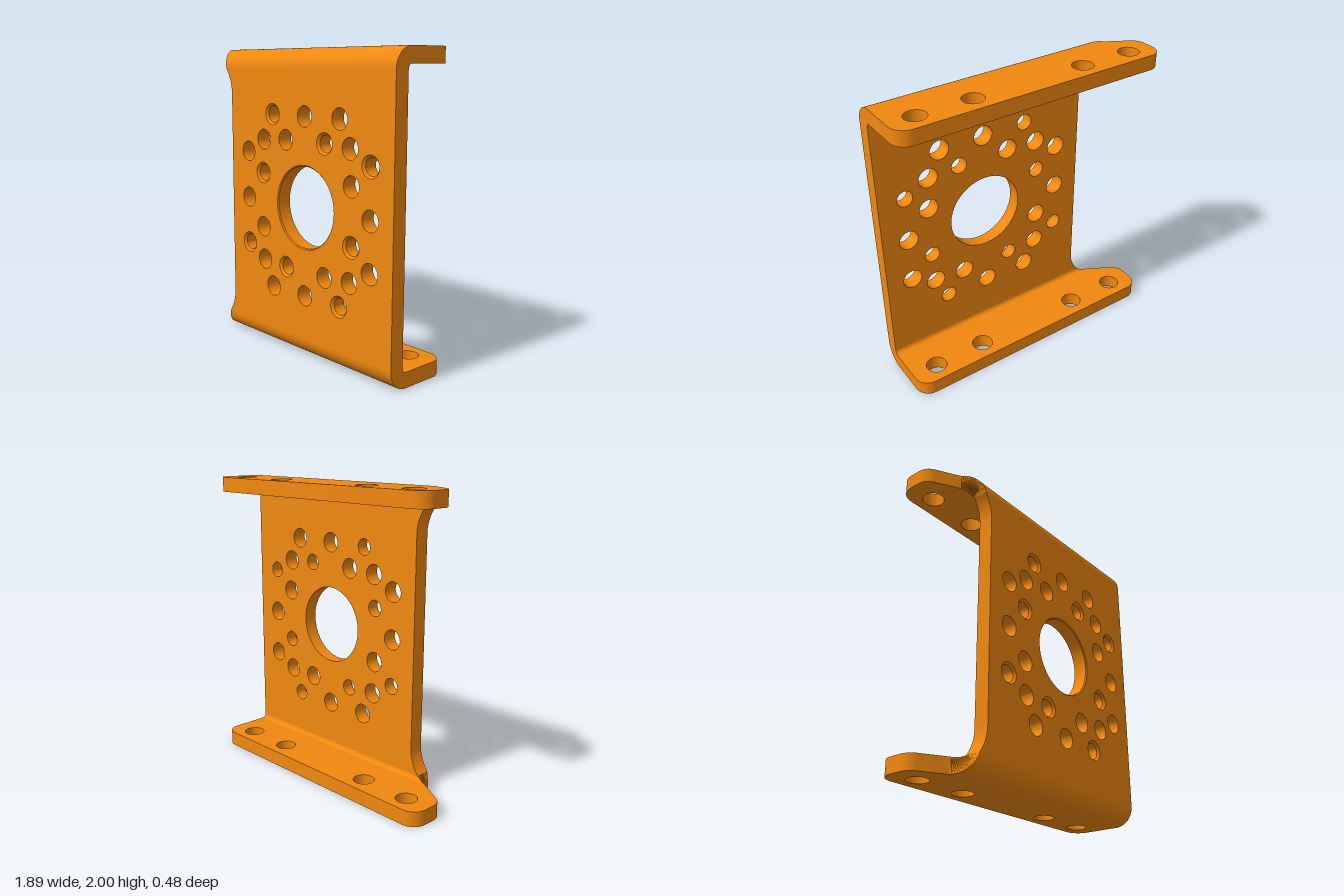
import * as THREE from 'three';
import { toCreasedNormals } from 'three/addons/utils/BufferGeometryUtils.js';

const RIGHT = 0.945, T = 0.1;            // plate half width, sheet thickness
const BEND_Z = 0.11, R_OUT = 0.13, R_IN = 0.03;
const CX = 0.183, CY = 1;                // centre of the hole pattern

const material = new THREE.MeshStandardMaterial({ color: 0xf0880f });

function addMesh(group, geometry, name) {
  const mesh = new THREE.Mesh(toCreasedNormals(geometry, 0.4), material);
  mesh.name = name;
  group.add(mesh);
  return mesh;
}

function punch(shape, x, y, r) {
  shape.holes.push(new THREE.Path().absarc(x, y, r, 0, Math.PI * 2, true));
}

function extrude(shape) {
  return new THREE.ExtrudeGeometry(shape, { depth: T, bevelEnabled: false, curveSegments: 20 });
}

// Liner that narrows a punched hole and gives it a chamfered front edge
function chamferedRim(group, x, y, inner, outer, name) {
  const profile = [[outer, 0], [inner, 0], [inner, T - (outer - inner)], [outer, T]]
    .map(([r, h]) => new THREE.Vector2(r, h)).reverse();
  const geometry = new THREE.LatheGeometry(profile, 40);
  geometry.rotateX(Math.PI / 2);
  // the lathe axis now runs along +z; face the walls toward the hole axis
  const pos = geometry.attributes.position, index = geometry.index;
  const a = new THREE.Vector3(), b = new THREE.Vector3(), c = new THREE.Vector3();
  for (let i = 0; i < index.count; i += 3) {
    const [i0, i1, i2] = [0, 1, 2].map((k) => index.getX(i + k));
    a.fromBufferAttribute(pos, i0);
    b.fromBufferAttribute(pos, i1);
    c.fromBufferAttribute(pos, i2);
    const n = b.clone().sub(a).cross(c.clone().sub(a));
    const mid = a.clone().add(b).add(c).divideScalar(3);
    const back = Math.max(a.z, b.z, c.z) < 1e-5;
    const inward = back ? -n.z : -(n.x * mid.x + n.y * mid.y);
    if (inward < 0) {
      index.setX(i + 1, i2);
      index.setX(i + 2, i1);
    }
  }
  addMesh(group, geometry, name).position.set(x, y, BEND_Z + R_IN);
}

// Flat upright plate with the hole pattern
function buildWeb(group) {
  const lo = R_OUT, hi = 2 - R_OUT;
  const s = new THREE.Shape();
  s.moveTo(RIGHT, lo);
  s.lineTo(RIGHT, hi);
  s.lineTo(-0.64, hi);
  s.quadraticCurveTo(-0.58, 1.79, -0.58, 1.7);
  s.lineTo(-0.58, 0.3);
  s.quadraticCurveTo(-0.58, 0.21, -0.64, lo);
  s.closePath();

  punch(s, CX, CY, 0.272);
  chamferedRim(group, CX, CY, 0.265, 0.272, 'centreHoleRim');

  // each entry repeats at four quarter turns: dx, dy, chamfered
  const pattern = [
    [0, 0.578, false], [0.408, 0.408, false],
    [0.317, 0.578, false], [-0.317, 0.578, true],
    [-0.184, 0.42, false], [0.184, 0.42, true],
  ];
  for (const [dx, dy, chamfered] of pattern) {
    let [x, y] = [dx, dy];
    for (let k = 0; k < 4; k++) {
      punch(s, CX + x, CY + y, chamfered ? 0.07 : 0.067);
      if (chamfered) chamferedRim(group, CX + x, CY + y, 0.055, 0.07, 'smallHoleRim');
      [x, y] = [y, -x];
    }
  }
  addMesh(group, extrude(s), 'webPlate').position.z = BEND_Z + R_IN;
}

// Quarter-round bend; sign is +1 for the top and -1 for the bottom
function buildBend(group, sign, name) {
  const geometry = new THREE.BoxGeometry(1, 1, 1, 1, 16, 1);
  const pos = geometry.attributes.position;
  const cy = sign > 0 ? 2 - R_OUT : R_OUT;
  for (let i = 0; i < pos.count; i++) {
    const u = pos.getY(i) + sign * 0.5;   // 0 at the web, +-1 at the flange
    const a = u * Math.PI / 2;
    const r = pos.getZ(i) > 0 ? R_OUT : R_IN;
    const x = pos.getX(i) > 0 ? RIGHT : -0.64 - 0.1 * Math.pow(Math.abs(u), 1.3);
    pos.setXYZ(i, x, cy + r * Math.sin(a), BEND_Z + r * Math.cos(a));
  }
  addMesh(group, geometry, name);
}

// Flange outline drawn with the shape's y pointing to the back
function buildFlange(group, y, name) {
  const s = new THREE.Shape();
  s.moveTo(-0.74, -BEND_Z);
  s.lineTo(RIGHT, -BEND_Z);
  s.lineTo(RIGHT, 0.14);
  s.absarc(RIGHT - 0.1, 0.14, 0.1, 0, Math.PI / 2, false);
  s.lineTo(-RIGHT + 0.1, 0.24);
  s.absarc(-RIGHT + 0.1, 0.14, 0.1, Math.PI / 2, Math.PI, false);
  s.lineTo(-RIGHT, 0.065);
  s.quadraticCurveTo(-RIGHT, 0.008, -0.895, -0.022);
  s.closePath();
  for (const x of [-0.765, -0.395, 0.395, 0.765]) punch(s, x, 0.11, 0.07);
  const geometry = extrude(s);
  geometry.rotateX(-Math.PI / 2);
  addMesh(group, geometry, name).position.y = y;
}

export function createModel() {
  const group = new THREE.Group();
  group.name = 'channelBracket';
  buildWeb(group);
  buildBend(group, 1, 'topBend');
  buildBend(group, -1, 'bottomBend');
  buildFlange(group, 2 - T, 'topFlange');
  buildFlange(group, 0, 'bottomFlange');
  return group;
}
